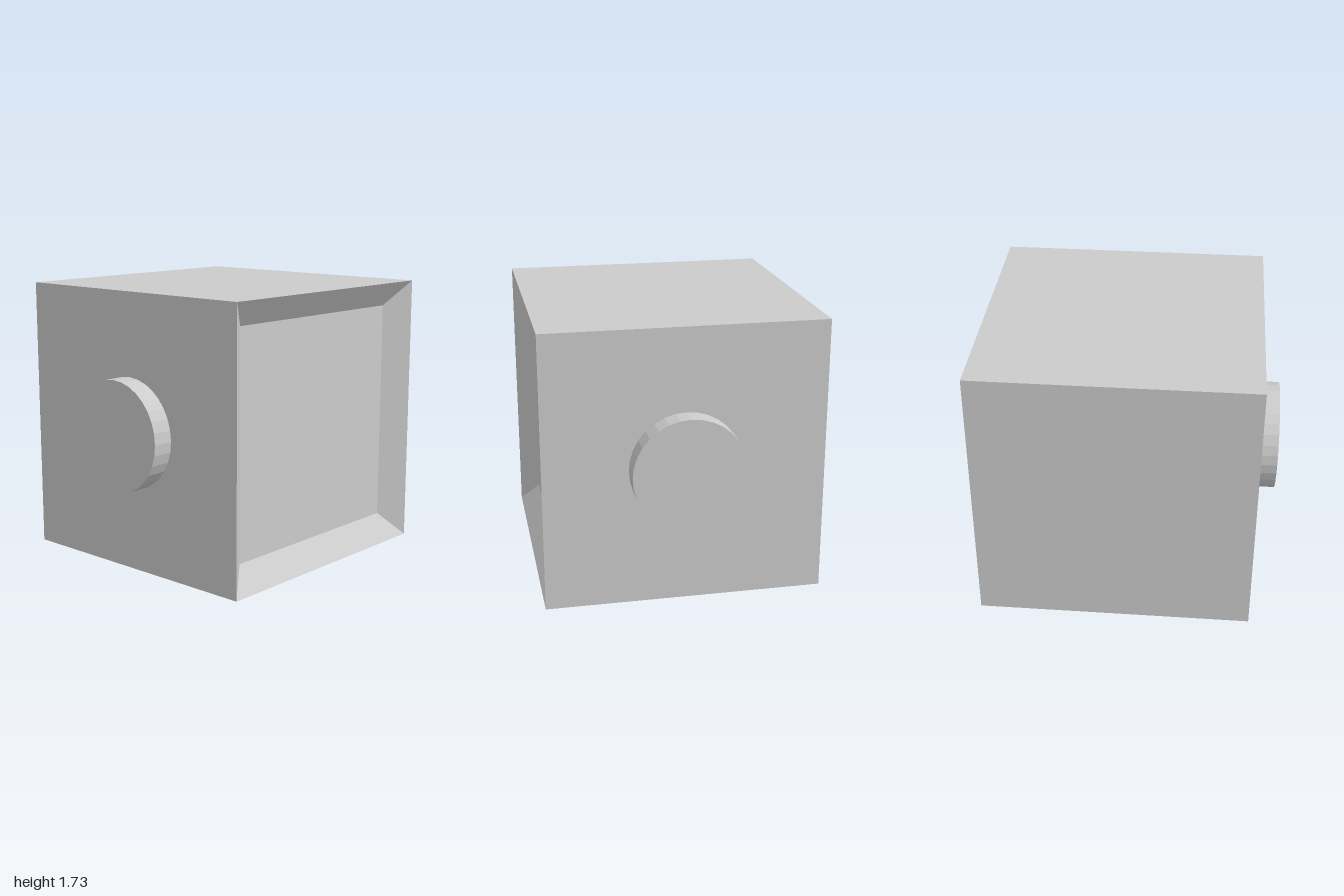
import * as THREE from 'three';

const HALF = 0.867;          // half the cube's edge
const PANEL_HALF = 0.708;    // half the sunken front panel's edge
const PANEL_Z = HALF - 0.117;
const KNOB_RADIUS = 0.347;
const KNOB_LENGTH = 1 - HALF;

const material = new THREE.MeshStandardMaterial({ color: 0xcccccc, flatShading: true });

// Cube with a bevelled, sunken front: a four-sided lathe whose axis becomes z
function createBody() {
  const profile = [[0, -HALF], [HALF, -HALF], [HALF, HALF], [PANEL_HALF, PANEL_Z], [0, PANEL_Z]]
    .map(([half, z]) => new THREE.Vector2(half * Math.SQRT2, z));
  let geometry = new THREE.LatheGeometry(profile, 4);
  geometry.rotateY(Math.PI / 4).rotateX(Math.PI / 2);
  geometry = geometry.toNonIndexed();
  geometry.computeVertexNormals();
  const body = new THREE.Mesh(geometry, material);
  body.name = 'body';
  body.position.y = HALF;
  return body;
}

// Short round knob on one side of the body
function createKnob(side, name) {
  const geometry = new THREE.CylinderGeometry(KNOB_RADIUS, KNOB_RADIUS, KNOB_LENGTH, 32);
  geometry.rotateZ(-side * Math.PI / 2);
  const knob = new THREE.Mesh(geometry, material);
  knob.name = name;
  knob.position.set(side * (HALF + KNOB_LENGTH / 2), HALF, 0);
  return knob;
}

export function createModel() {
  const model = new THREE.Group();
  model.name = 'cubeWithSideKnobs';
  model.add(createBody(), createKnob(1, 'leftKnob'), createKnob(-1, 'rightKnob'));
  return model;
}
